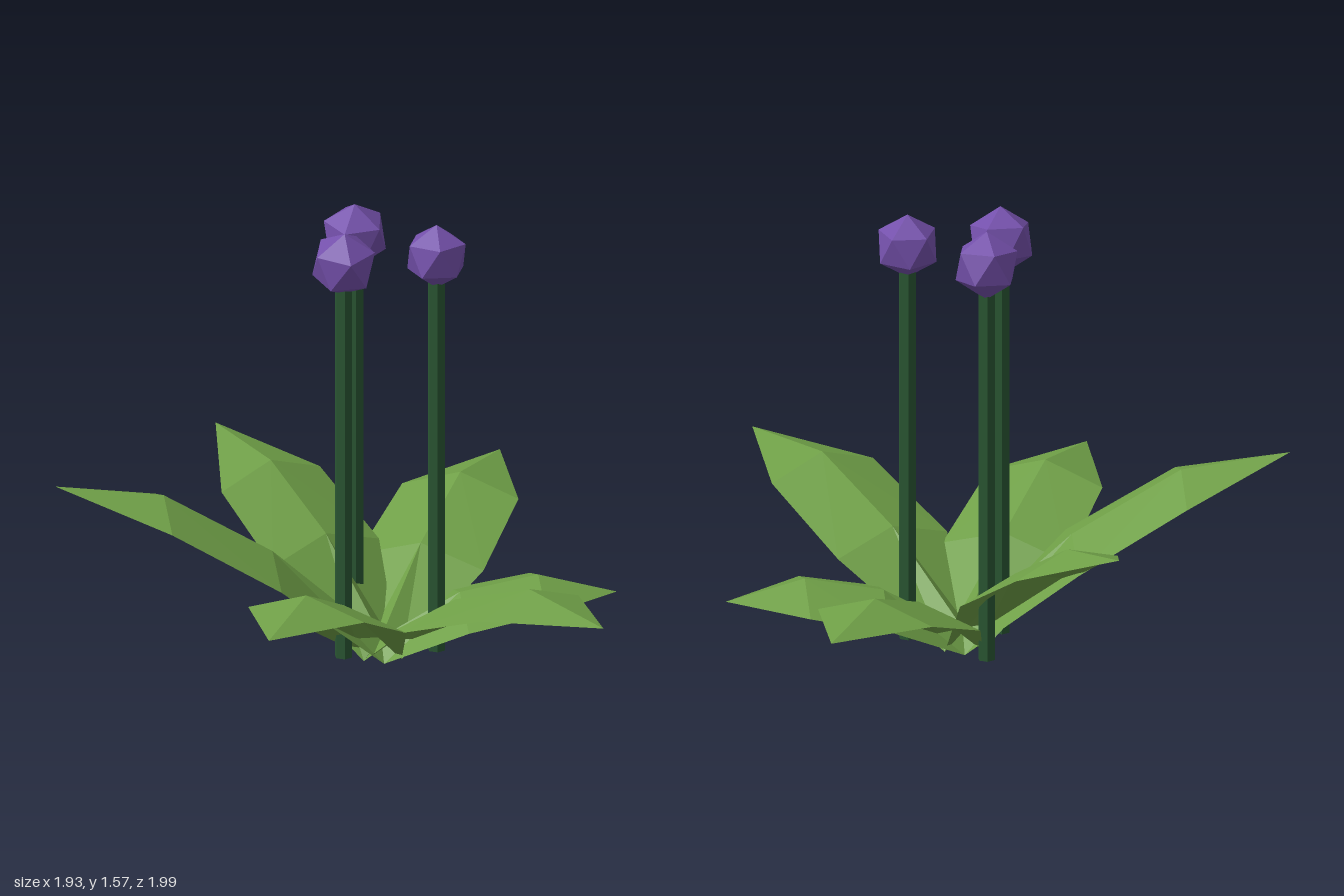
import * as THREE from 'three';

const leafGreen = new THREE.MeshStandardMaterial({ color: 0x6f9f47, flatShading: true, side: THREE.DoubleSide });
leafGreen.name = 'leaf green';
const stalkGreen = new THREE.MeshStandardMaterial({ color: 0x2a5733, flatShading: true });
stalkGreen.name = 'stalk green';
const petalPurple = new THREE.MeshStandardMaterial({ color: 0x7450ab, flatShading: true });
petalPurple.name = 'petal purple';

// All leaves spring from one crown
const CROWN = { x: 0.15, z: -0.05 };
const HALF_WIDTHS = [0.075, 0.23, 0.213, 0];
const RIDGE_DROP = 0.07;

// Leaf with a raised midrib: three roof-shaped sections closing to a tip
function makeLeaf(tipX, tipZ, ridgeHeights) {
  const dx = tipX - CROWN.x, dz = tipZ - CROWN.z;
  const len = Math.hypot(dx, dz);
  const sideX = dz / len, sideZ = -dx / len;
  const sections = HALF_WIDTHS.map((w, i) => [-1, 0, 1].map((s) => new THREE.Vector3(
    CROWN.x + dx * i / 3 + sideX * w * s,
    ridgeHeights[i] - (w > 0 ? Math.abs(s) * RIDGE_DROP : 0),
    CROWN.z + dz * i / 3 + sideZ * w * s,
  )));
  const points = [];
  for (let i = 0; i < 3; i++) {
    for (let j = 0; j < 2; j++) {
      const a = sections[i][j], b = sections[i][j + 1];
      const c = sections[i + 1][j + 1], d = sections[i + 1][j];
      if (i === 2) points.push(a, b, c);
      // diagonals mirror each other across the midrib
      else if (j === 0) points.push(a, b, c, a, c, d);
      else points.push(a, b, d, b, c, d);
    }
  }
  const geometry = new THREE.BufferGeometry().setFromPoints(points);
  geometry.computeVertexNormals();
  return new THREE.Mesh(geometry, leafGreen);
}

// Thin stalk carrying a faceted flower head
function makeFlower(x, z, headY, radius, turn) {
  const flower = new THREE.Group();
  const bottom = 0.03;
  const stalk = new THREE.Mesh(new THREE.CylinderGeometry(0.031, 0.031, headY - bottom, 6), stalkGreen);
  stalk.name = 'stalk';
  stalk.position.set(x, (headY + bottom) / 2, z);
  const head = new THREE.Mesh(new THREE.IcosahedronGeometry(radius, 0), petalPurple);
  head.name = 'flowerHead';
  head.position.set(x, headY, z);
  head.rotation.set(...turn);
  flower.add(stalk, head);
  return flower;
}

export function createModel() {
  const model = new THREE.Group();
  model.name = 'floweringPlant';

  // Tip x, tip z, midrib heights from crown to tip
  const leaves = [
    ['rightLeaf', -0.97, -0.05, [0.07, 0.4, 0.62, 0.67]],
    ['leftLeaf', 0.96, -0.05, [0.07, 0.22, 0.27, 0.195]],
    ['backLeftLeaf', 0.69, -1.0, [0.07, 0.29, 0.425, 0.385]],
    ['backRightLeaf', -0.31, -0.835, [0.07, 0.36, 0.54, 0.59]],
    ['frontRightLeaf', -0.36, 0.845, [0.07, 0.3, 0.45, 0.4]],
    ['frontLeftLeaf', 0.77, 0.99, [0.07, 0.32, 0.47, 0.44]],
  ];
  for (const [name, x, z, heights] of leaves) {
    const leaf = makeLeaf(x, z, heights);
    leaf.name = name;
    model.add(leaf);
  }

  // Stalk x, z, head height, head radius, head rotation
  const flowers = [
    ['frontFlower', 0.012, 0.015, 1.45, 0.118, [0.2, 0.4, 0.55]],
    ['backFlower', 0.087, -0.247, 1.458, 0.118, [0.1, 1.1, 0.6]],
    ['leftFlower', 0.335, -0.012, 1.452, 0.113, [0, 0.3, 0.55]],
  ];
  for (const [name, ...spec] of flowers) {
    const flower = makeFlower(...spec);
    flower.name = name;
    model.add(flower);
  }
  return model;
}
